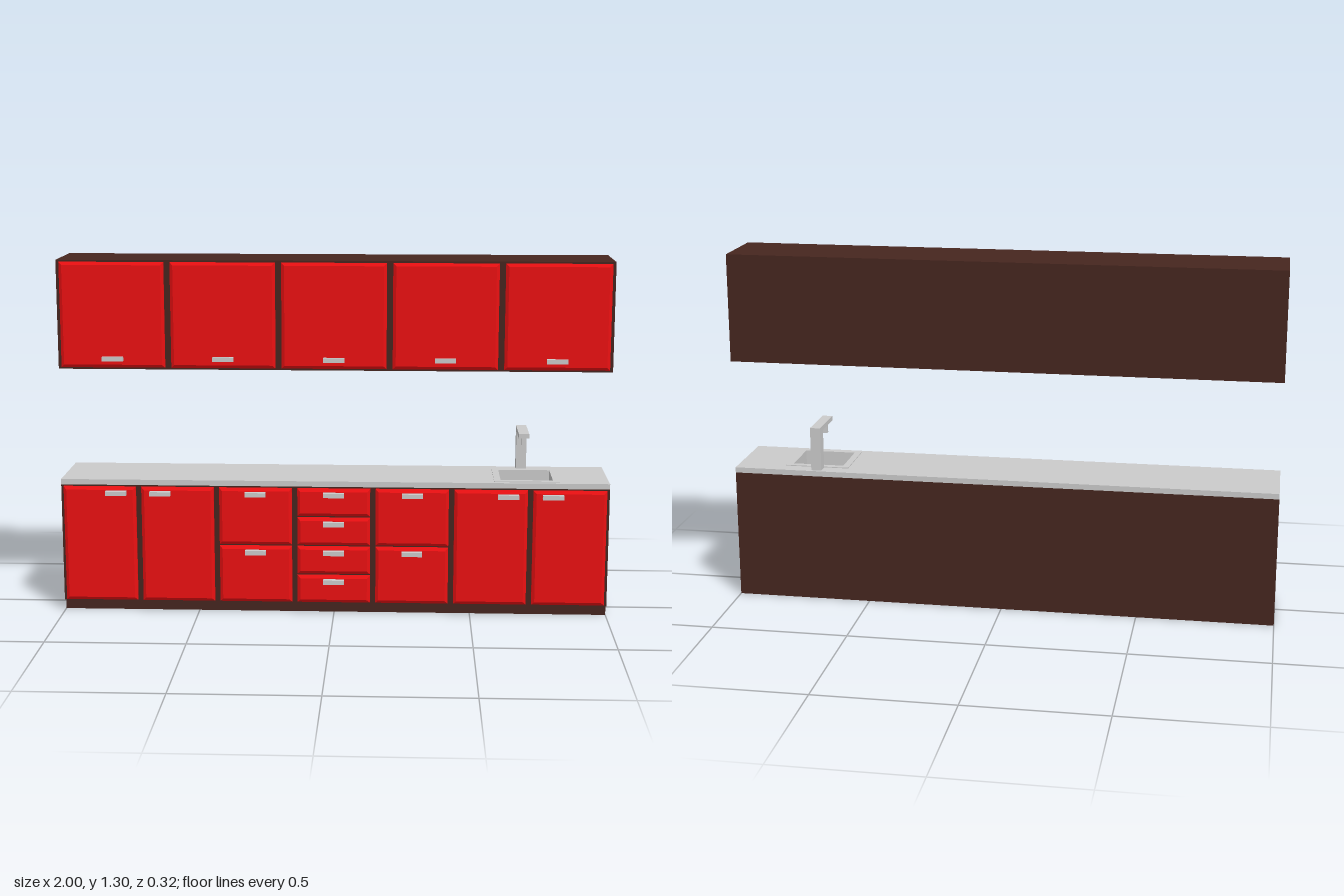
import * as THREE from 'three';

const mat = (color) => new THREE.MeshStandardMaterial({ color });

export function createModel() {
  const root = new THREE.Group();
  root.name = 'kitchenUnit';
  const brown = mat(0x46261f), red = mat(0xeb1012), grey = mat(0xcccccc);

  const add = (name, geometry, material) => {
    const mesh = new THREE.Mesh(geometry, material);
    mesh.name = name;
    root.add(mesh);
    return mesh;
  };
  // Box given by its lower and upper bounds
  const box = (name, material, x0, x1, y0, y1, z0, z1) =>
    add(name, new THREE.BoxGeometry(x1 - x0, y1 - y0, z1 - z0), material)
      .position.set((x0 + x1) / 2, (y0 + y1) / 2, (z0 + z1) / 2);

  const rect = (Type, x0, x1, y0, y1) => {
    const p = new Type();
    p.moveTo(x0, y0);
    p.lineTo(x1, y0);
    p.lineTo(x1, y1);
    p.lineTo(x0, y1);
    p.closePath();
    return p;
  };

  // Chamfered front panel; its back is sunk into the cabinet
  const BEVEL = 0.011;
  const panel = (name, cx, cy, w, h, zFront) => {
    const shape = rect(THREE.Shape, -w / 2 + BEVEL, w / 2 - BEVEL, -h / 2 + BEVEL, h / 2 - BEVEL);
    const geo = new THREE.ExtrudeGeometry(shape, {
      depth: 0.012, bevelEnabled: true, bevelSize: BEVEL, bevelThickness: 0.007, bevelSegments: 1,
    });
    add(name, geo, red).position.set(cx, cy, zFront - 0.019);
  };
  const handle = (cx, cy, z0, z1) =>
    box('handle', grey, cx - 0.038, cx + 0.038, cy - 0.008, cy + 0.008, z0, z1);

  // Horizontal slab with a rectangular opening
  const slab = (name, outer, hole, y0, y1) => {
    const shape = rect(THREE.Shape, outer[0], outer[1], -outer[3], -outer[2]);
    shape.holes.push(rect(THREE.Path, hole[0], hole[1], -hole[3], -hole[2]));
    const geo = new THREE.ExtrudeGeometry(shape, { depth: y1 - y0, bevelEnabled: false });
    geo.rotateX(-Math.PI / 2);
    add(name, geo, grey).position.y = y0;
  };

  // Wall cabinets
  box('wallCabinet', brown, -1, 1, 0.905, 1.3, -0.16, 0.1);
  for (let i = 0; i < 5; i++) {
    const x = -0.8 + i * 0.4;
    panel('wallDoor', x, 1.1025, 0.378, 0.382, 0.11);
    handle(x, 0.945, 0.105, 0.125);
  }

  // Base cabinet of panels, left open under the worktop for the basin
  box('plinth', brown, -1, 1, 0, 0.04, -0.16, 0.1);
  box('baseFloor', brown, -1, 1, 0.04, 0.055, -0.16, 0.125);
  box('baseBack', brown, -1, 1, 0.055, 0.48, -0.16, -0.145);
  box('baseFront', brown, -1, 1, 0.055, 0.48, 0.11, 0.125);
  for (const s of [-1, 1]) {
    box('baseSide', brown, Math.min(s, s * 0.985), Math.max(s, s * 0.985), 0.055, 0.48, -0.145, 0.11);
  }

  // Base fronts: number of stacked panels and handle offset per column
  const columns = [[1, 0.062], [1, -0.062], [2, 0], [4, 0], [2, 0], [1, 0.062], [1, -0.062]];
  const pitch = 2 / 7, bottom = 0.043, top = 0.478;
  columns.forEach(([count, offset], i) => {
    const x = -1 + pitch * (i + 0.5);
    const step = (top - bottom) / count;
    for (let j = 0; j < count; j++) {
      const yTop = top - j * step;
      panel(count === 1 ? 'baseDoor' : 'drawer', x, yTop - step / 2, pitch - 0.02, step - 0.006, 0.14);
      handle(x + offset, yTop - 0.024, 0.135, 0.16);
    }
  });

  // Worktop and sink
  const opening = [0.607, 0.797, -0.085, 0.085];
  const [x0, x1, z0, z1] = opening, t = 0.004, yb = 0.43;
  slab('worktop', [-1, 1, -0.16, 0.125], opening, 0.48, 0.5);
  slab('sinkRim', [0.583, 0.821, -0.108, 0.108], opening, 0.5, 0.503);
  box('basinFloor', grey, x0 - t, x1 + t, yb - t, yb, z0 - t, z1 + t);
  box('basinWall', grey, x0 - t, x0, yb, 0.48, z0, z1);
  box('basinWall', grey, x1, x1 + t, yb, 0.48, z0, z1);
  box('basinWall', grey, x0 - t, x1 + t, yb, 0.48, z0 - t, z0);
  box('basinWall', grey, x0 - t, x1 + t, yb, 0.48, z1, z1 + t);

  // Square tap
  box('tapStem', grey, 0.674, 0.712, 0.5, 0.645, -0.15, -0.11);
  box('tapArm', grey, 0.674, 0.712, 0.645, 0.662, -0.15, 0.025);
  box('tapSpout', grey, 0.685, 0.701, 0.606, 0.645, -0.014, 0.001);

  return root;
}
